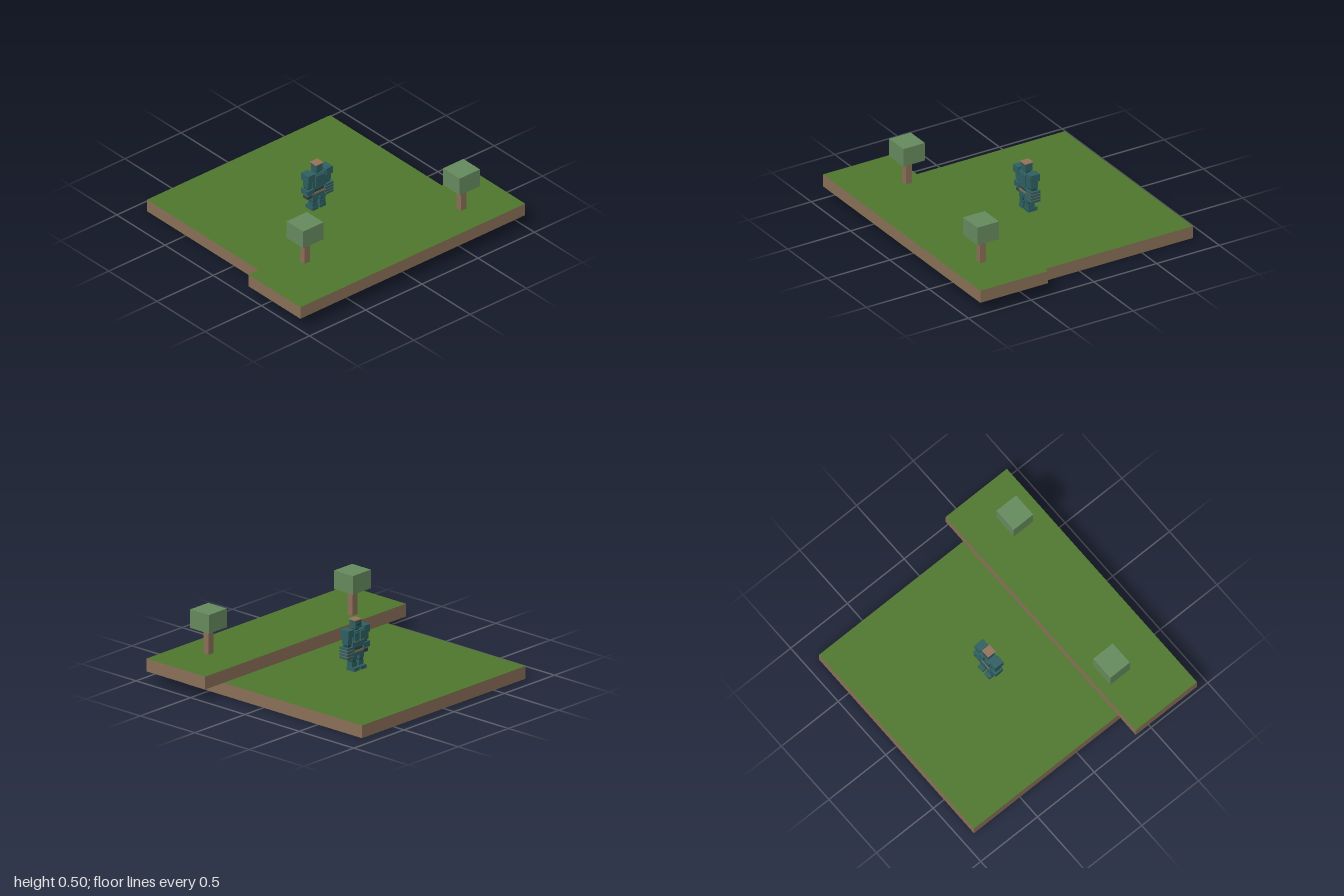
import * as THREE from 'three';

const flat = (name, color) => {
  const m = new THREE.MeshStandardMaterial({ color });
  m.name = name;
  return m;
};

export function createModel() {
  const grass = flat('grass green', 0x4f772d);
  const earth = flat('earth brown', 0x8b7158);
  const leaf = flat('leaf green', 0x668b5e);
  const teal = flat('armour teal', 0x2f6062);
  const dark = flat('joint dark teal', 0x24484b);
  const trim = flat('trim tan', 0x94735c);

  const model = new THREE.Group();
  model.name = 'terrainWithRobot';

  // Box given by its extents on each axis
  const box = (parent, name, mat, [x0, x1], [y0, y1], [z0, z1]) => {
    const mesh = new THREE.Mesh(new THREE.BoxGeometry(x1 - x0, y1 - y0, z1 - z0), mat);
    mesh.position.set((x0 + x1) / 2, (y0 + y1) / 2, (z0 + z1) / 2);
    mesh.name = name;
    parent.add(mesh);
    return mesh;
  };

  // Earth slabs with a grass top face
  const slab = [earth, earth, grass, earth, earth, earth];
  box(model, 'lowerGround', slab, [-0.815, 0.815], [0, 0.091], [-0.905, 0.73]);
  box(model, 'upperGround', slab, [-1, 1], [0.091, 0.183], [0.365, 0.905]);

  // Block trees
  for (const [x, z] of [[-0.6, 0.487], [0.635, 0.67]]) {
    const tree = new THREE.Group();
    tree.name = 'tree';
    tree.position.set(x, 0.183, z);
    box(tree, 'trunk', earth, [-0.024, 0.024], [0, 0.183], [-0.023, 0.023]);
    box(tree, 'foliage', leaf, [-0.09, 0.09], [0.183, 0.317], [-0.086, 0.086]);
    model.add(tree);
  }

  // Robot, built facing its own +z and turned to look towards the back
  const robot = new THREE.Group();
  robot.name = 'robot';
  robot.position.set(0, 0.091, -0.092);
  robot.rotation.y = Math.PI;
  model.add(robot);

  // Head
  box(robot, 'neck', dark, [-0.018, 0.018], [0.275, 0.3], [-0.018, 0.018]);
  box(robot, 'head', teal, [-0.028, 0.028], [0.295, 0.345], [-0.029, 0.029]);
  box(robot, 'headBand', dark, [-0.03, 0.03], [0.345, 0.351], [-0.03, 0.03]);
  box(robot, 'headCap', trim, [-0.033, 0.033], [0.351, 0.358], [-0.033, 0.033]);
  box(robot, 'visor', dark, [-0.022, 0.022], [0.318, 0.332], [0.029, 0.033]);

  // Torso, chest and back plates
  box(robot, 'torso', teal, [-0.06, 0.06], [0.165, 0.282], [-0.03, 0.032]);
  box(robot, 'backPlate', teal, [-0.04, 0.04], [0.19, 0.275], [-0.04, -0.03]);
  for (const s of [-1, 1]) {
    const x = [s * 0.03 - 0.022, s * 0.03 + 0.022];
    box(robot, 'chestPlate', teal, x, [0.215, 0.275], [0.032, 0.044]);
    box(robot, 'chestTrim', trim, x, [0.207, 0.213], [0.032, 0.04]);
  }
  box(robot, 'waist', dark, [-0.045, 0.045], [0.14, 0.165], [-0.024, 0.026]);
  box(robot, 'belt', trim, [-0.05, 0.05], [0.128, 0.142], [-0.028, 0.03]);
  box(robot, 'hips', teal, [-0.055, 0.055], [0.102, 0.128], [-0.027, 0.028]);

  for (const s of [-1, 1]) {
    const side = new THREE.Group();
    side.name = s > 0 ? 'leftLimbs' : 'rightLimbs';
    side.position.x = s * 0.08;
    robot.add(side);

    // Shoulder and upper arm
    box(side, 'shoulder', teal, [-0.029, 0.029], [0.247, 0.3], [-0.04, 0.036]);
    box(side, 'upperArm', teal, [-0.021, 0.021], [0.194, 0.247], [-0.028, 0.026]);
    box(side, 'elbow', dark, [-0.016, 0.016], [0.176, 0.194], [-0.02, 0.02]);

    // Forearm: a banded gauntlet on one side, a hand on the other
    if (s < 0) {
      for (let i = 0; i < 4; i++) {
        const y = 0.094 + i * 0.022;
        box(side, 'gauntletPlate', teal, [-0.035, 0.035], [y, y + 0.016], [-0.038, 0.036]);
        if (i < 3) box(side, 'gauntletBand', trim, [-0.032, 0.032], [y + 0.016, y + 0.022], [-0.035, 0.033]);
      }
    } else {
      box(side, 'forearm', teal, [-0.03, 0.03], [0.142, 0.18], [-0.035, 0.034]);
      box(side, 'wristBand', trim, [-0.026, 0.026], [0.134, 0.142], [-0.031, 0.03]);
      box(side, 'hand', dark, [-0.022, 0.022], [0.106, 0.134], [-0.024, 0.024]);
    }

    // Leg and foot
    const leg = new THREE.Group();
    leg.name = 'leg';
    leg.position.x = -s * 0.046;
    side.add(leg);
    box(leg, 'thigh', teal, [-0.023, 0.023], [0.075, 0.104], [-0.028, 0.028]);
    box(leg, 'knee', dark, [-0.018, 0.018], [0.06, 0.075], [-0.02, 0.022]);
    box(leg, 'shin', teal, [-0.023, 0.023], [0.026, 0.06], [-0.023, 0.024]);
    box(leg, 'foot', teal, [-0.026, 0.026], [0, 0.026], [-0.026, 0.046]);
  }

  return model;
}
